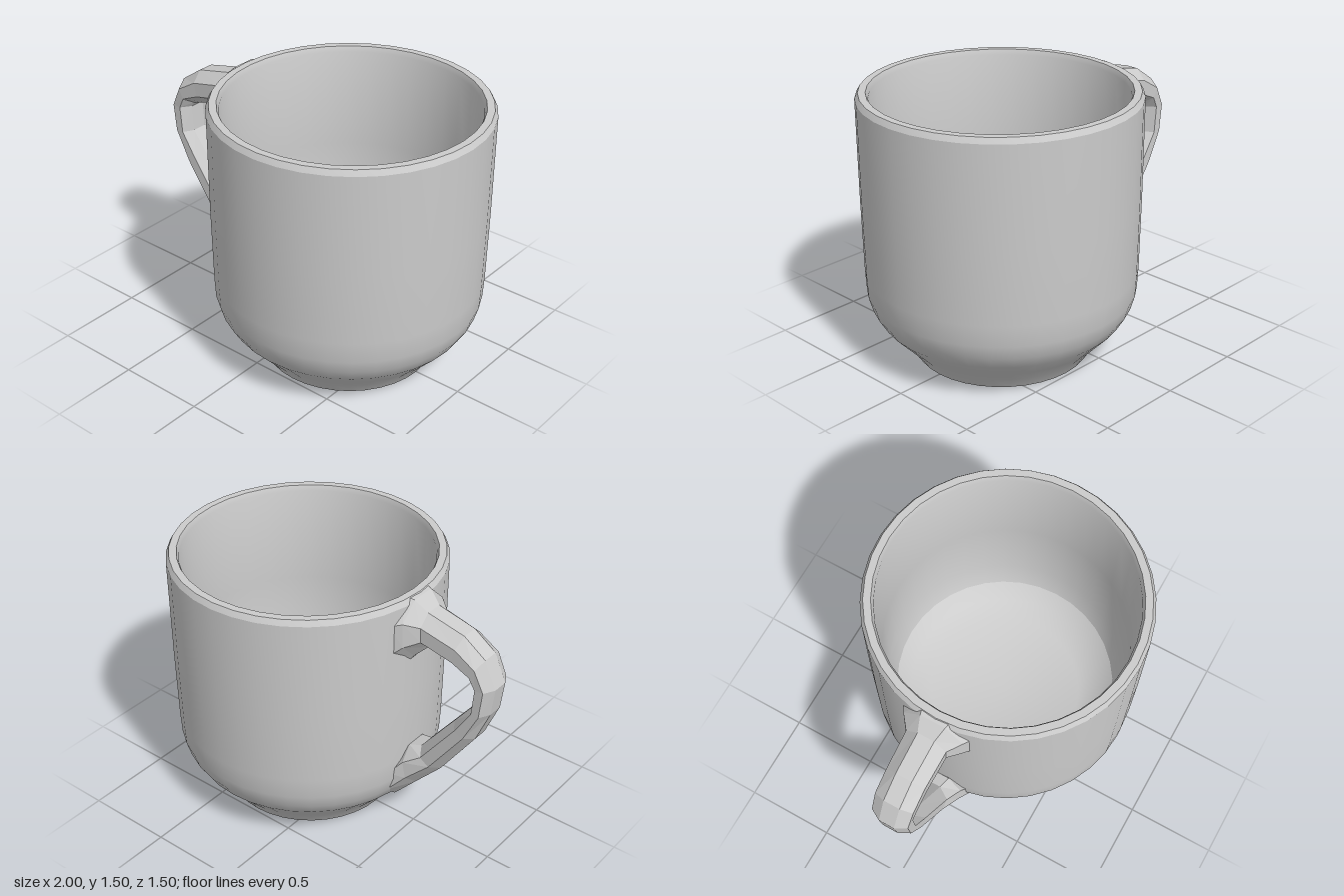
import * as THREE from 'three';
import { toCreasedNormals } from 'three/addons/utils/BufferGeometryUtils.js';

// Loft of octagonal sections lying between an outer and an inner edge in the XY plane
function loftHandle(sections) {
  const sides = 8, positions = [], indices = [];
  for (const [ox, oy, ix, iy, halfWidth] of sections) {
    for (let k = 0; k < sides; k++) {
      const a = ((k + 0.5) / sides) * Math.PI * 2;
      const s = 1 / Math.cos(Math.PI / sides);
      const t = 0.5 + 0.5 * Math.cos(a) * s; // 1 = outer edge, 0 = inner edge
      positions.push(
        ix + (ox - ix) * t,
        iy + (oy - iy) * t,
        Math.sin(a) * s * halfWidth
      );
    }
  }
  for (let i = 0; i < sections.length - 1; i++) {
    for (let k = 0; k < sides; k++) {
      const a = i * sides + k, b = i * sides + ((k + 1) % sides);
      indices.push(a, b, a + sides, b, b + sides, a + sides);
    }
  }
  const geometry = new THREE.BufferGeometry();
  geometry.setAttribute('position', new THREE.Float32BufferAttribute(positions, 3));
  geometry.setIndex(indices);
  return geometry;
}

export function createModel() {
  const model = new THREE.Group();
  model.name = 'mug';

  // Body: recessed underside, flared foot, wall, bevelled rim, then the inside
  const profile = [
    [0, 0.07], [0.41, 0.07], [0.44, 0], [0.48, 0],
    [0.525, 0.07], [0.59, 0.14], [0.67, 0.225], [0.715, 0.3],
    [0.738, 0.38], [0.744, 0.5], [0.75, 0.9], [0.752, 1.47],
    [0.735, 1.5], [0.695, 1.5], [0.683, 1.47],
    [0.68, 0.9], [0.67, 0.45], [0.63, 0.31], [0.55, 0.23], [0.44, 0.18], [0, 0.17],
  ].map(([r, y]) => new THREE.Vector2(r, y));
  const body = new THREE.Mesh(
    toCreasedNormals(new THREE.LatheGeometry(profile, 36), 0.5),
    new THREE.MeshStandardMaterial({ color: 0xcccccc })
  );
  body.name = 'body';
  body.position.x = 0.245;
  model.add(body);

  // Handle: outer x, y, inner x, y, half width; flared where it joins the wall
  const handle = new THREE.Mesh(
    loftHandle([
      [-0.46, 1.5, -0.46, 1.08, 0.2],
      [-0.51, 1.49, -0.52, 1.16, 0.17],
      [-0.58, 1.43, -0.59, 1.23, 0.115],
      [-0.8, 1.38, -0.76, 1.19, 0.11],
      [-0.93, 1.29, -0.86, 1.16, 0.11],
      [-1, 1.14, -0.88, 1.13, 0.105],
      [-0.98, 0.98, -0.87, 0.98, 0.105],
      [-0.9, 0.79, -0.77, 0.85, 0.105],
      [-0.7, 0.5, -0.57, 0.59, 0.11],
      [-0.55, 0.34, -0.5, 0.57, 0.14],
      [-0.42, 0.2, -0.45, 0.5, 0.17],
    ]),
    new THREE.MeshStandardMaterial({
      color: 0xcccccc, flatShading: true, side: THREE.DoubleSide,
    })
  );
  handle.name = 'handle';
  handle.position.z = -0.005;
  model.add(handle);

  return model;
}
